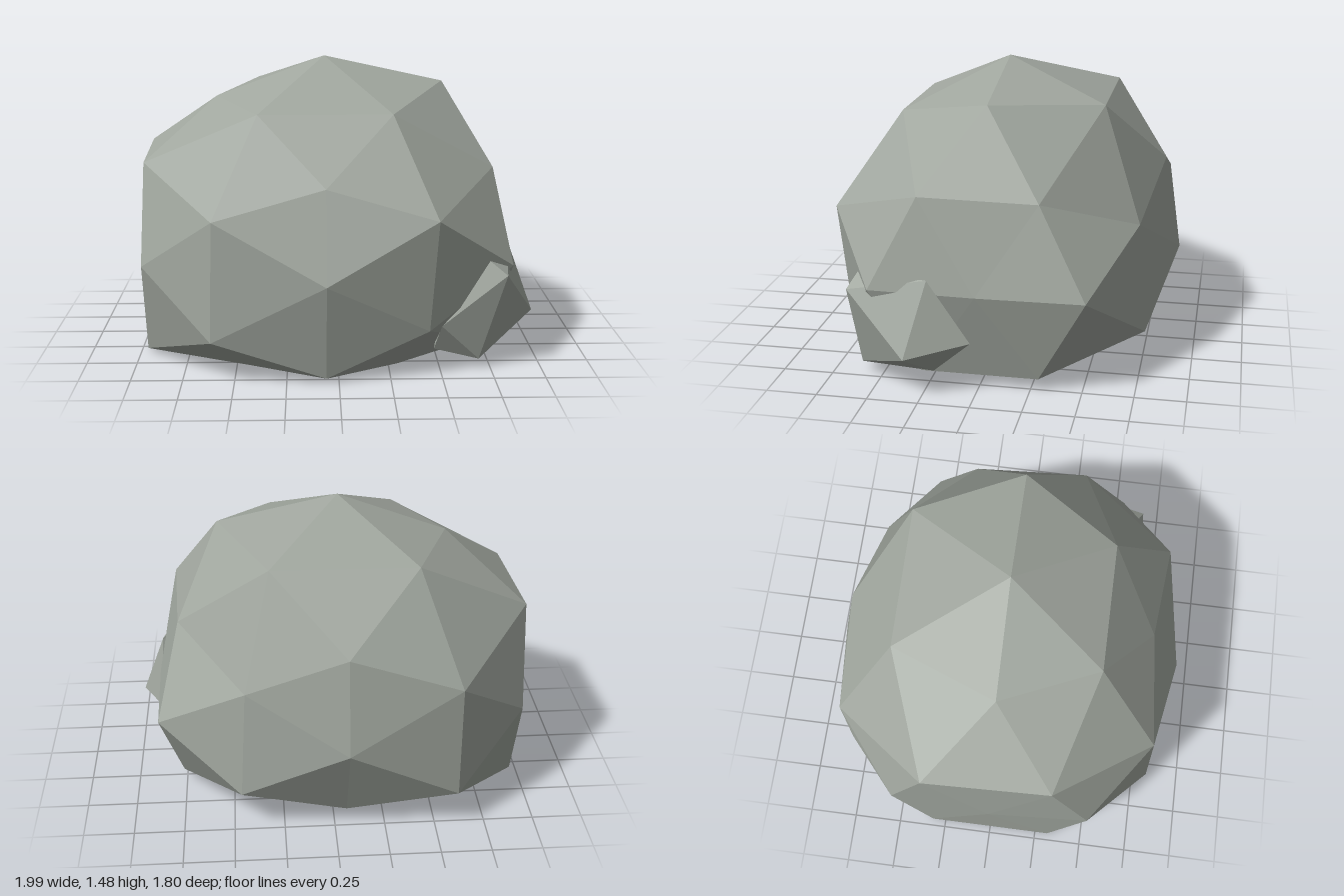
import * as THREE from 'three';
import { ConvexGeometry } from 'three/addons/geometries/ConvexGeometry.js';

const stone = new THREE.MeshStandardMaterial({ color: 0xa0a69e });
stone.name = 'grey green stone';

// Radius for each direction of the icosphere. Each row lists a direction and
// its radii in sign order: x plus before minus, then y, then z.
const RADII = [
  [[1, 0, 0], [0.81, 0.81]],
  [[0, 1, 0], [0.98, 0.9]],
  [[0, 0, 1], [0.85, 0.85]],
  [[0.526, 0.851, 0], [0.998, 1.0, 0.91, 0.95]],
  [[0, 0.526, 0.851], [0.815, 0.905, 0.9, 0.8]],
  [[0.851, 0, 0.526], [0.94, 0.94, 0.92, 0.92]],
  [[0.309, 0.809, 0.5], [0.92, 1.01, 1.0, 0.93, 0.92, 1.0, 1.03, 0.93]],
  [[0.5, 0.309, 0.809], [0.92, 0.85, 0.86, 0.9, 0.93, 0.945, 0.95, 0.945]],
  [[0.809, 0.5, 0.309], [0.9, 0.87, 0.88, 0.88, 0.965, 0.99, 0.97, 0.97]],
];

// Expand the rows over every sign combination
function radiusTable() {
  const signs = (v) => (v === 0 ? [0] : [1, -1]);
  const table = [];
  for (const [[x, y, z], radii] of RADII) {
    let i = 0;
    for (const sx of signs(x)) for (const sy of signs(y)) for (const sz of signs(z)) {
      table.push({ dir: new THREE.Vector3(x * sx, y * sy, z * sz), radius: radii[i++] });
    }
  }
  return table;
}

// Large boulder: an uneven icosphere, stretched and cut flat at the ground
function boulderGeometry() {
  const geometry = new THREE.IcosahedronGeometry(1, 1);
  const position = geometry.attributes.position;
  const table = radiusTable();
  const v = new THREE.Vector3();
  for (let i = 0; i < position.count; i++) {
    v.fromBufferAttribute(position, i);
    const { radius } = table.reduce((a, b) => (b.dir.dot(v) > a.dir.dot(v) ? b : a));
    position.setXYZ(
      i,
      -0.06 + v.x * radius * 1.155,
      Math.max(0, 0.5 + v.y * radius),
      v.z * radius * 1.06
    );
  }
  geometry.computeVertexNormals();
  return geometry;
}

// Small angular stone half sunk into the boulder's front left corner
function smallStoneGeometry() {
  return new ConvexGeometry([
    [0.995, 0.21, 0.32], // outer tip
    [0.82, 0.48, 0.64], // front shoulder
    [0.69, 0.05, 0.61], // front foot
    [0.73, 0.55, 0.6], // front peak
    [0.87, 0.57, 0.23], // rear peak
    [0.88, 0.27, 0.02], // rear corner
    [0.5, 0.24, 0.68], // inner corner
    [0.47, 0.1, 0.6], // inner foot
    [0.76, 0.06, 0.23], // rear foot
    [0.55, 0.3, 0.25], // buried core
  ].map((p) => new THREE.Vector3(...p)));
}

export function createModel() {
  const group = new THREE.Group();
  group.name = 'rocks';
  const boulder = new THREE.Mesh(boulderGeometry(), stone);
  boulder.name = 'boulder';
  const smallStone = new THREE.Mesh(smallStoneGeometry(), stone);
  smallStone.name = 'smallStone';
  group.add(boulder, smallStone);
  return group;
}
